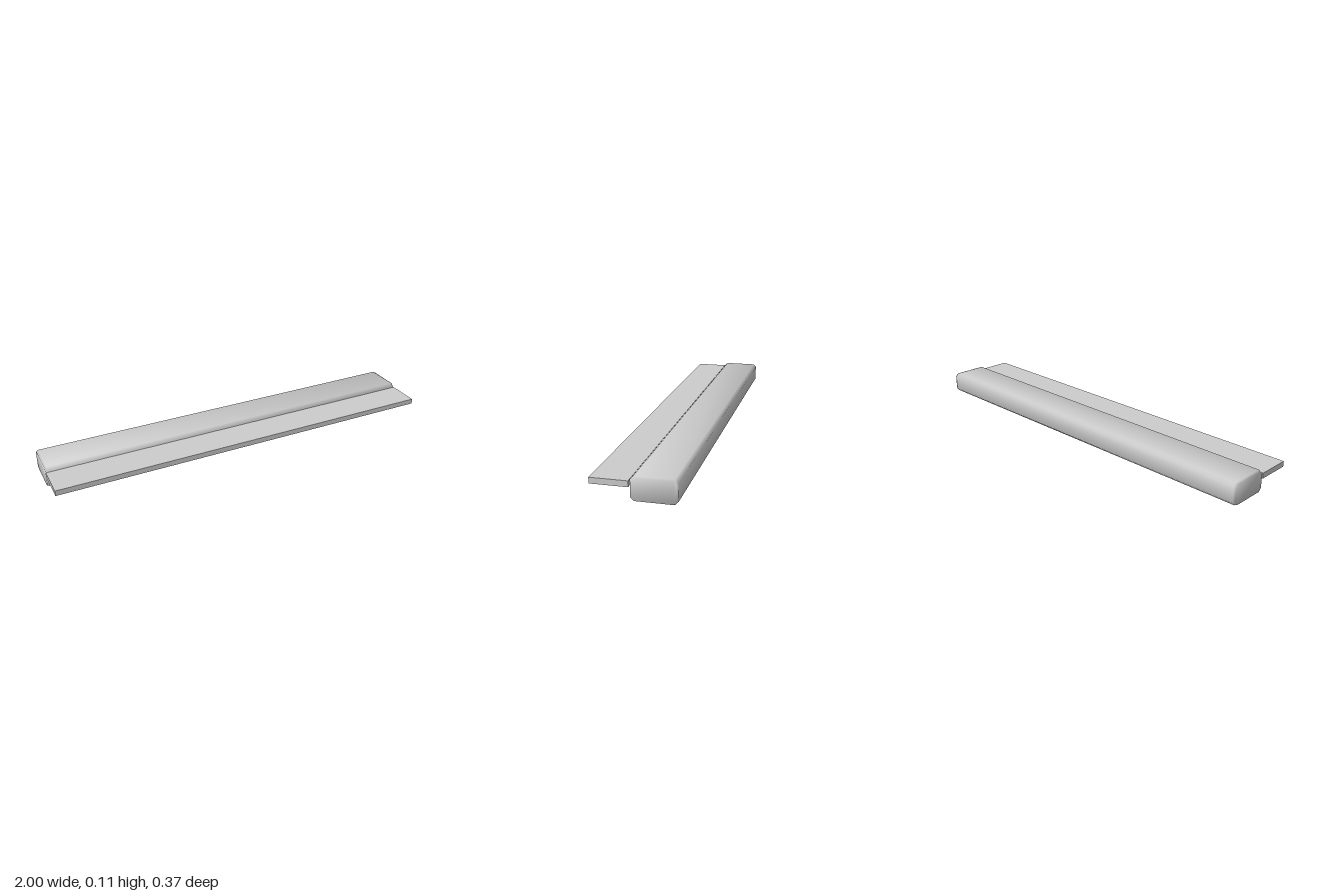
import * as THREE from 'three';
import { mergeVertices } from 'three/addons/utils/BufferGeometryUtils.js';
import { ConvexGeometry } from 'three/addons/geometries/ConvexGeometry.js';

// Bar along x: octagonal section, slightly narrowed at both ends, soft shading
function bevelledBar(halfLength, halfHeight, halfDepth, chamfer, endInset, endDepth) {
  const points = [];
  for (const sx of [-1, 1]) {
    for (const [x, inset] of [[halfLength, endInset], [halfLength - endDepth, 0]]) {
      const h = halfHeight - inset, d = halfDepth - inset;
      for (const sy of [-1, 1]) for (const sz of [-1, 1]) {
        points.push(new THREE.Vector3(sx * x, sy * h, sz * (d - chamfer)));
        points.push(new THREE.Vector3(sx * x, sy * (h - chamfer), sz * d));
      }
    }
  }
  let geometry = new ConvexGeometry(points);
  geometry.deleteAttribute('normal');
  geometry = mergeVertices(geometry, 1e-5);

  // Normals follow the nearest main face, tilted towards the bevels
  const pos = geometry.attributes.position, normals = [], tilt = 0.35;
  for (let i = 0; i < pos.count; i++) {
    const x = pos.getX(i), y = pos.getY(i), z = pos.getZ(i);
    const onEnd = Math.abs(x) > halfLength - endDepth / 2;
    const onTop = halfHeight - Math.abs(y) < halfDepth - Math.abs(z);
    const n = new THREE.Vector3(
      Math.sign(x) * (onEnd ? 1 : tilt),
      Math.sign(y) * (!onEnd && onTop ? 1 : tilt),
      Math.sign(z) * (!onEnd && !onTop ? 1 : tilt)
    ).normalize();
    normals.push(n.x, n.y, n.z);
  }
  geometry.setAttribute('normal', new THREE.Float32BufferAttribute(normals, 3));
  return geometry;
}

export function createModel() {
  const model = new THREE.Group();
  const grey = new THREE.MeshStandardMaterial({ color: 0xcccccc });
  grey.name = 'light grey';

  // Thick bar at the back
  const bar = new THREE.Mesh(bevelledBar(1, 0.0535, 0.1, 0.015, 0.004, 0.012), grey);
  bar.name = 'bar';
  bar.position.set(0, 0.0535, -0.085);

  // Thin flat strip in front, a hair clear of the bar
  const strip = new THREE.Mesh(new THREE.BoxGeometry(2, 0.027, 0.166), grey);
  strip.name = 'strip';
  strip.position.set(0, 0.0745, 0.102);

  model.add(bar, strip);
  return model;
}
